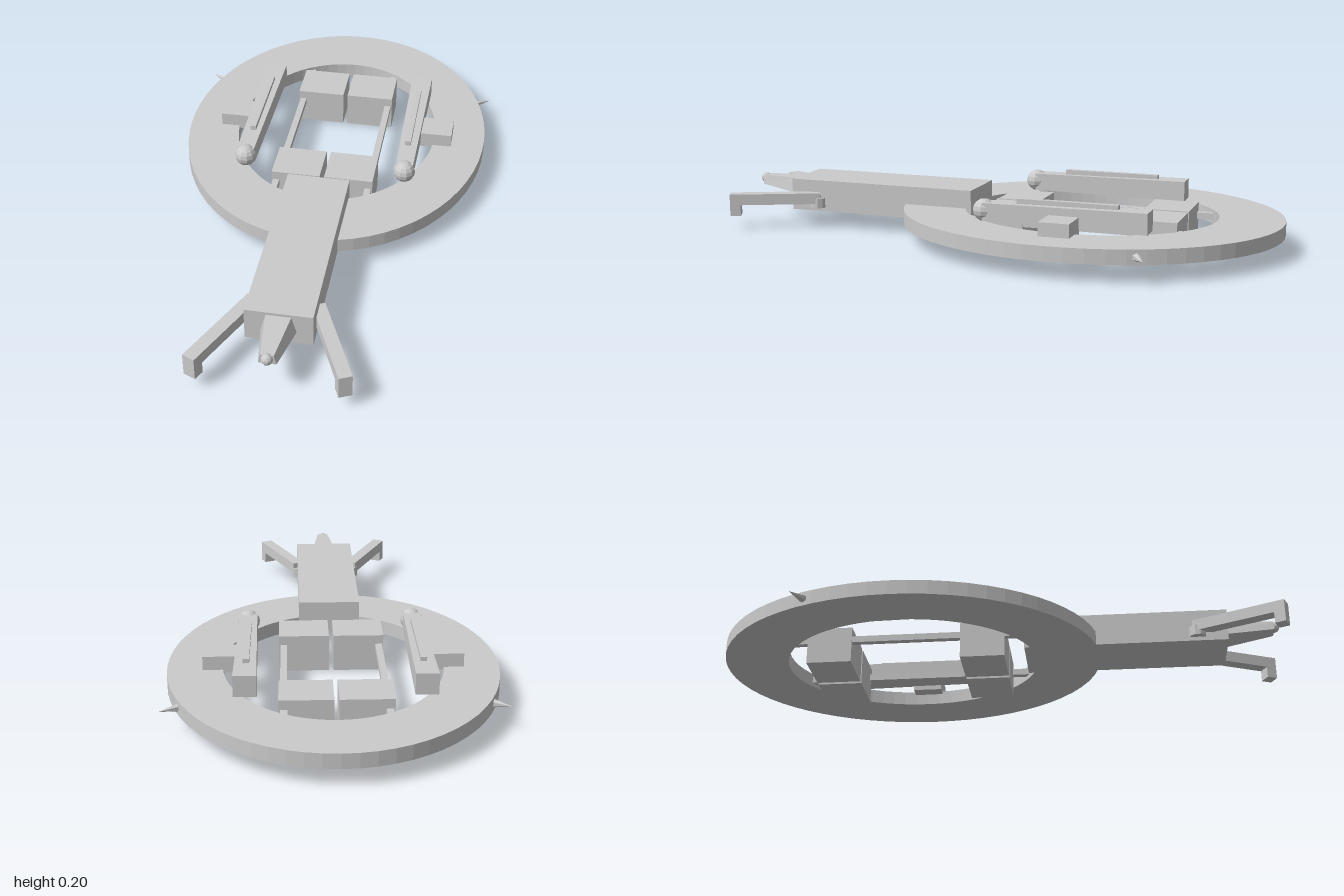
import * as THREE from 'three';

const grey = new THREE.MeshStandardMaterial({ color: 0xcccccc, flatShading: true });

export function createModel() {
  const model = new THREE.Group();
  const add = (name, geometry, x = 0, y = 0, z = 0, parent = model) => {
    const mesh = new THREE.Mesh(geometry, grey);
    mesh.name = name;
    mesh.position.set(x, y, z);
    parent.add(mesh);
    return mesh;
  };
  // Box given by its minimum and maximum corners
  const box = (name, [x0, y0, z0], [x1, y1, z1], parent = model) =>
    add(name, new THREE.BoxGeometry(x1 - x0, y1 - y0, z1 - z0),
      (x0 + x1) / 2, (y0 + y1) / 2, (z0 + z1) / 2, parent);
  // Box along z whose front end is scaled and lifted
  const taperedBox = (w, h, length, sx, sy, lift = 0) => {
    const g = new THREE.BoxGeometry(w, h, length);
    const p = g.attributes.position;
    for (let i = 0; i < p.count; i++) {
      if (p.getZ(i) > 0) p.setXY(i, p.getX(i) * sx, p.getY(i) * sy + lift);
    }
    g.computeVertexNormals();
    return g;
  };

  // Flat oval ring hull
  const oval = new THREE.Shape().absellipse(0, 0, 0.555, 0.675, 0, Math.PI * 2);
  oval.holes.push(new THREE.Path().absellipse(0, 0, 0.37, 0.45, 0, Math.PI * 2, true));
  const ring = new THREE.ExtrudeGeometry(oval, { depth: 0.05, bevelEnabled: false, curveSegments: 32 });
  ring.rotateX(-Math.PI / 2);
  add('ringHull', ring, 0, 0.06, -0.325);

  // Neck and tapered nose
  box('neck', [-0.11, 0.06, 0.085], [0.11, 0.175, 0.795]);
  const nose = taperedBox(0.115, 0.06, 0.175, 0.5, 0.55, 0.012);
  const np = nose.attributes.position;
  for (let i = 0; i < np.count; i++) {
    if (np.getY(i) > 0.015) np.setX(i, np.getX(i) * 0.72);
  }
  nose.computeVertexNormals();
  add('nose', nose, 0, 0.135, 0.8775);
  add('noseTip', new THREE.SphereGeometry(0.019, 10, 8), 0, 0.15, 0.967);

  for (const s of [1, -1]) {
    const side = s > 0 ? 'left' : 'right';
    const sbox = (name, x0, x1, y0, y1, z0, z1) =>
      box(side + name, [Math.min(s * x0, s * x1), y0, z0], [Math.max(s * x0, s * x1), y1, z1]);

    // Cargo blocks hung on a long rail
    sbox('RearBlock', 0.008, 0.183, 0, 0.13, -0.672, -0.515);
    sbox('FrontBlock', 0.008, 0.183, 0, 0.13, -0.133, 0.022);
    sbox('Rail', 0.155, 0.178, 0.075, 0.098, -0.76, 0.11);

    // Engine with ball nose, top fin and side bracket
    add(side + 'Engine', taperedBox(0.076, 0.072, 0.57, 0.8, 0.85), s * 0.289, 0.15, -0.32);
    add(side + 'EngineBall', new THREE.SphereGeometry(0.039, 10, 8), s * 0.289, 0.152, -0.033);
    sbox('EngineFin', 0.276, 0.297, 0.178, 0.199, -0.5, -0.15);
    sbox('Bracket', 0.32, 0.435, 0.1, 0.157, -0.375, -0.27);

    // Splayed grabber arm with pivot and hooked end
    const arm = new THREE.Group();
    arm.name = side + 'Arm';
    arm.position.set(s * 0.11, 0.11, 0.69);
    arm.rotation.y = s * 0.42;
    model.add(arm);
    box('armBeam', [-0.022, -0.02, -0.01], [0.022, 0.02, 0.32], arm);
    box('armHook', [-0.022, -0.06, 0.282], [0.022, -0.015, 0.32], arm);
    add(side + 'ArmPivot', new THREE.CylinderGeometry(0.03, 0.03, 0.036, 10), s * 0.105, 0.092, 0.69);

    // Thin antenna spike on the ring's rim
    const spike = add(side + 'Spike', new THREE.ConeGeometry(0.016, 0.075, 6), s * 0.525, 0.085, -0.627);
    spike.quaternion.setFromUnitVectors(new THREE.Vector3(0, 1, 0),
      new THREE.Vector3(s * 0.87, 0, -0.49).normalize());
  }
  return model;
}
